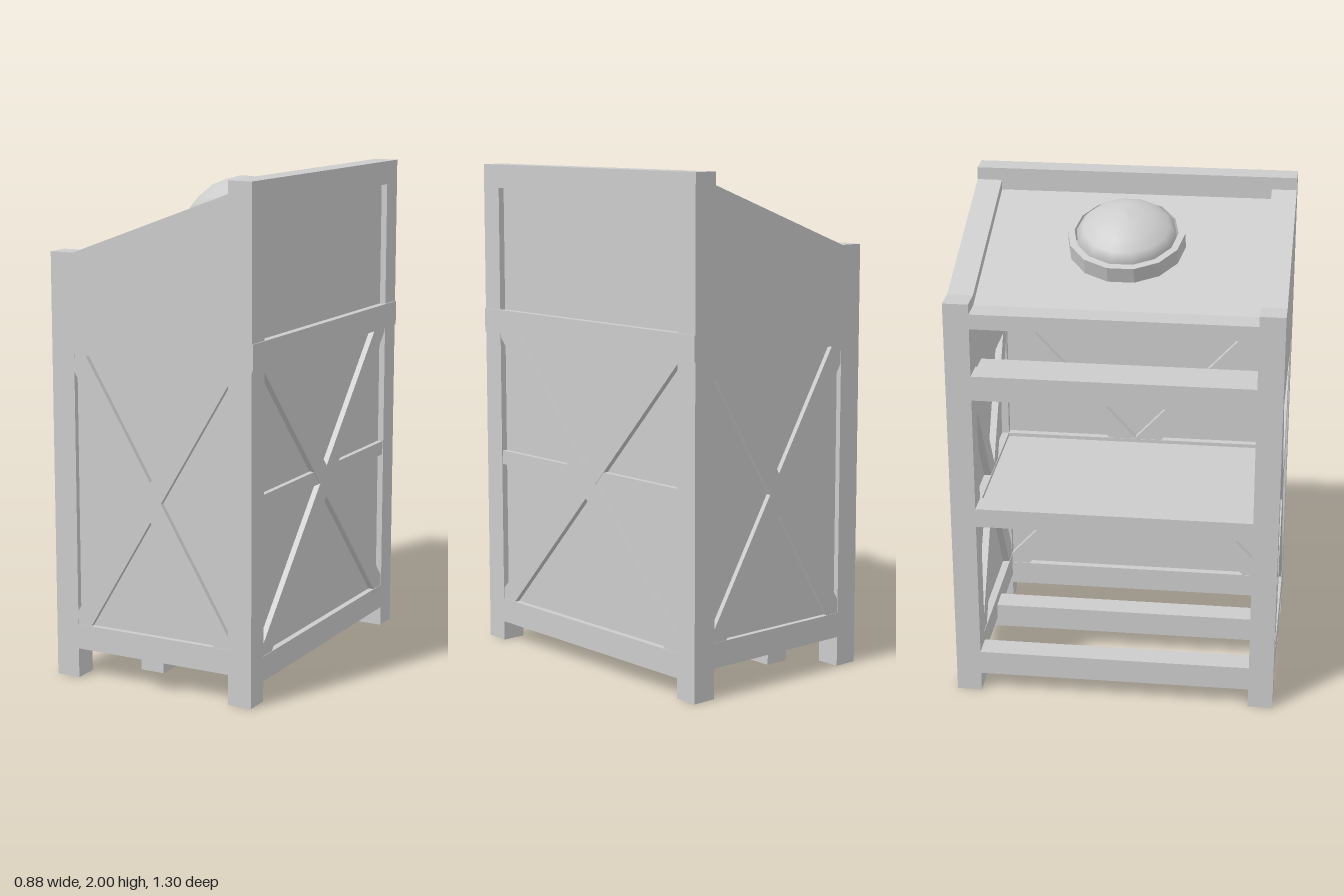
import * as THREE from 'three';

const grey = new THREE.MeshStandardMaterial({ color: 0xcccccc, flatShading: true });
const smooth = new THREE.MeshStandardMaterial({ color: 0xcccccc });

export function createModel() {
  const root = new THREE.Group();

  function add(name, geometry, material = grey) {
    const mesh = new THREE.Mesh(geometry, material);
    mesh.name = name;
    root.add(mesh);
    return mesh;
  }
  // Box given by its limits on each axis
  function box(name, x0, x1, y0, y1, z0, z1) {
    const mesh = add(name, new THREE.BoxGeometry(x1 - x0, y1 - y0, z1 - z0));
    mesh.position.set((x0 + x1) / 2, (y0 + y1) / 2, (z0 + z1) / 2);
    return mesh;
  }
  // Outline in x and y, extruded along z
  function slab(name, points, z0, z1) {
    const shape = new THREE.Shape(points.map(([x, y]) => new THREE.Vector2(x, y)));
    const mesh = add(name, new THREE.ExtrudeGeometry(shape, { depth: z1 - z0, bevelEnabled: false }));
    mesh.position.z = z0;
    return mesh;
  }

  const L = -0.44, R = 0.435, Z = 0.65, T = 0.1;
  const li = L + T, ri = R - T, zi = Z - T;

  // Side walls: posts, rails, thin panel, cross braces and sloped upper wall
  for (const s of [1, -1]) {
    const span = (a, b) => [Math.min(s * a, s * b), Math.max(s * a, s * b)];
    const wall = span(zi, Z);
    box('lowPost', L, li, 0, 1.7, ...wall);
    box('highPost', ri, R, 0, 2, ...wall);
    box('sideBottomRail', li, ri, 0.12, 0.22, ...wall);
    box('sidePanel', li, ri, 0.2, 1.32, ...span(zi + 0.03, Z - 0.022));
    slab('slopedSideWall', [[li, 1.305], [ri, 1.305], [ri, 1.95], [li, 1.7]], ...wall);
    for (const d of [1, -1]) {
      const brace = add('sideBrace', new THREE.BoxGeometry(0.08, Math.hypot(0.68, 1.13), T - 0.004));
      brace.position.set(-0.005, 0.755, s * (Z - T / 2));
      brace.rotation.z = d * Math.atan2(0.68, 1.13);
    }
    box('shelfSideRail', li, ri, 0.757, 0.815, ...span(zi, Z - 0.03));
  }

  // Closed wall on the high side
  box('topBeam', ri, R, 1.905, 2, -zi, zi);
  box('wallUpperRail', ri, R + 0.005, 1.305, 1.405, -Z, Z);
  box('wallMiddleRail', ri, R - 0.004, 0.757, 0.815, -zi, zi);
  box('wallBottomRail', ri, R, 0.08, 0.18, -zi, zi);
  box('wallPanel', ri + 0.03, R - 0.025, 0.16, 1.92, -zi, zi);
  for (const d of [1, -1]) {
    const brace = add('wallBrace', new THREE.BoxGeometry(T - 0.004, 0.085, Math.hypot(1.1, 1.19)));
    brace.position.set(R - T / 2, 0.757, 0);
    brace.rotation.x = d * Math.atan2(1.19, 1.1);
  }

  // Rails across the open side
  for (const [y0, y1] of [[0.08, 0.18], [0.757, 0.835], [1.305, 1.405], [1.6, 1.66]]) {
    box('openSideRail', L, li, y0, y1, -zi, zi);
  }

  // Floor beam, shelf and narrow upper ledge
  box('floorBeam', -0.05, 0.05, 0.08, 0.18, -Z, Z);
  box('shelf', li, ri, 0.77, 0.8, -zi, zi);
  box('upperLedge', li, li + 0.12, 1.35, 1.39, -zi, zi);

  // Sloped lid set slightly below the side walls
  slab('slopedLid', [[L, 1.6], [li, 1.63], [ri, 1.88], [ri, 1.91], [li, 1.66], [L, 1.625]], -zi, zi);

  // Round collar and shallow dome, square to the lid
  const fitting = new THREE.Group();
  fitting.name = 'domeFitting';
  fitting.position.set(0.018, 1.833, 0);
  fitting.rotation.z = Math.atan2(0.25, 0.675);
  root.add(fitting);
  const lathe = (points) => new THREE.LatheGeometry(points.map(([x, y]) => new THREE.Vector2(x, y)), 14);
  fitting.add(add('collar', lathe([[0.205, -0.06], [0.232, -0.06], [0.232, 0.03], [0.205, 0.03], [0.205, -0.06]])));
  fitting.add(add('dome', lathe([[0.197, -0.05], [0.197, 0.03], [0.172, 0.06], [0.125, 0.09], [0.065, 0.115], [0, 0.123]]), smooth));

  return root;
}
